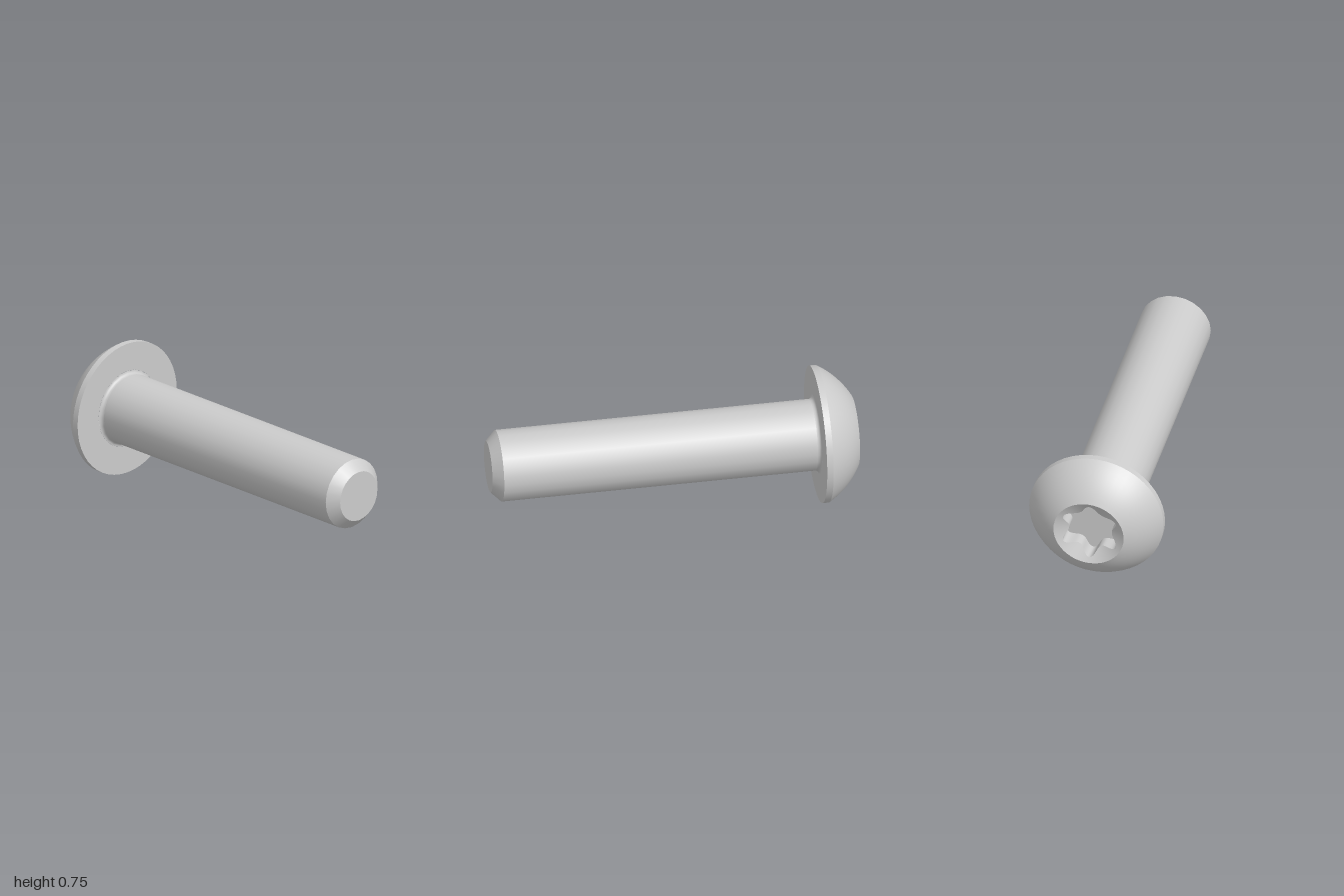
import * as THREE from 'three';

const material = new THREE.MeshStandardMaterial({ color: 0xcccccc });
const AXIS_Y = 0.373; // height of the screw axis

// Turned part around the z axis; profile points are [radius, z]
function turned(name, profile, sides) {
  const points = profile.map(([r, z]) => new THREE.Vector2(r, z));
  const geometry = new THREE.LatheGeometry(points, sides).rotateX(Math.PI / 2);
  const mesh = new THREE.Mesh(geometry, material);
  mesh.name = name;
  return mesh;
}

// Closed band between two rings, each a function angle -> [radius, z]
function band(name, ringA, ringB, count = 96) {
  const positions = [], index = [];
  for (const ring of [ringA, ringB]) {
    for (let i = 0; i < count; i++) {
      const angle = (i / count) * Math.PI * 2;
      const [r, z] = ring(angle);
      positions.push(r * Math.cos(angle), r * Math.sin(angle), z);
    }
  }
  for (let i = 0; i < count; i++) {
    const n = (i + 1) % count;
    index.push(i, count + i, n, count + i, count + n, n);
  }
  const geometry = new THREE.BufferGeometry();
  geometry.setAttribute('position', new THREE.Float32BufferAttribute(positions, 3));
  geometry.setIndex(index);
  geometry.computeVertexNormals();
  const mesh = new THREE.Mesh(geometry, material);
  mesh.name = name;
  return mesh;
}

export function createModel() {
  const screw = new THREE.Group();
  screw.name = 'screw';
  const body = new THREE.Group();
  body.name = 'screwBody';
  body.position.y = AXIS_Y;
  screw.add(body);

  // Button head: dome, thin rim and flat underside
  const topRadius = 0.195, headRadius = 0.373, shankRadius = 0.195;
  const dome = new THREE.QuadraticBezierCurve(
    new THREE.Vector2(topRadius, -1),
    new THREE.Vector2(0.308, -0.937),
    new THREE.Vector2(headRadius, -0.825)
  ).getPoints(10).map((p) => [p.x, p.y]);
  body.add(
    turned('headDome', dome, 48),
    turned('headRim', [[headRadius, -0.825], [headRadius, -0.79]], 48),
    turned('headUnderside', [[headRadius, -0.79], [0.215, -0.79]], 48)
  );

  // Shank with a small fillet under the head and a chamfered end
  const fillet = [];
  for (let i = 0; i <= 5; i++) {
    const a = (i / 5) * Math.PI / 2;
    fillet.push([0.215 - 0.02 * Math.sin(a), -0.77 - 0.02 * Math.cos(a)]);
  }
  body.add(
    turned('neckFillet', fillet, 24),
    turned('shank', [[shankRadius, -0.77], [shankRadius, 0.945]], 24),
    turned('endChamfer', [[shankRadius, 0.945], [0.14, 1]], 24),
    turned('endFace', [[0.14, 1], [0, 1]], 24)
  );

  // Six-lobed drive socket with a shallow conical lead-in
  const floorZ = -0.885;
  const lobeRadius = (a) =>
    0.118 + 0.049 * Math.pow((1 + Math.cos(6 * (a - Math.PI / 2))) / 2, 1.4);
  const socketMouth = (a) => {
    const r = lobeRadius(a);
    return [r, -1 + (topRadius - r) * 0.57];
  };
  const socketFoot = (a) => [lobeRadius(a), floorZ];
  body.add(
    band('socketCountersink', () => [topRadius, -1], socketMouth),
    band('socketWall', socketMouth, socketFoot),
    band('socketFloor', socketFoot, () => [0, floorZ])
  );
  return screw;
}
